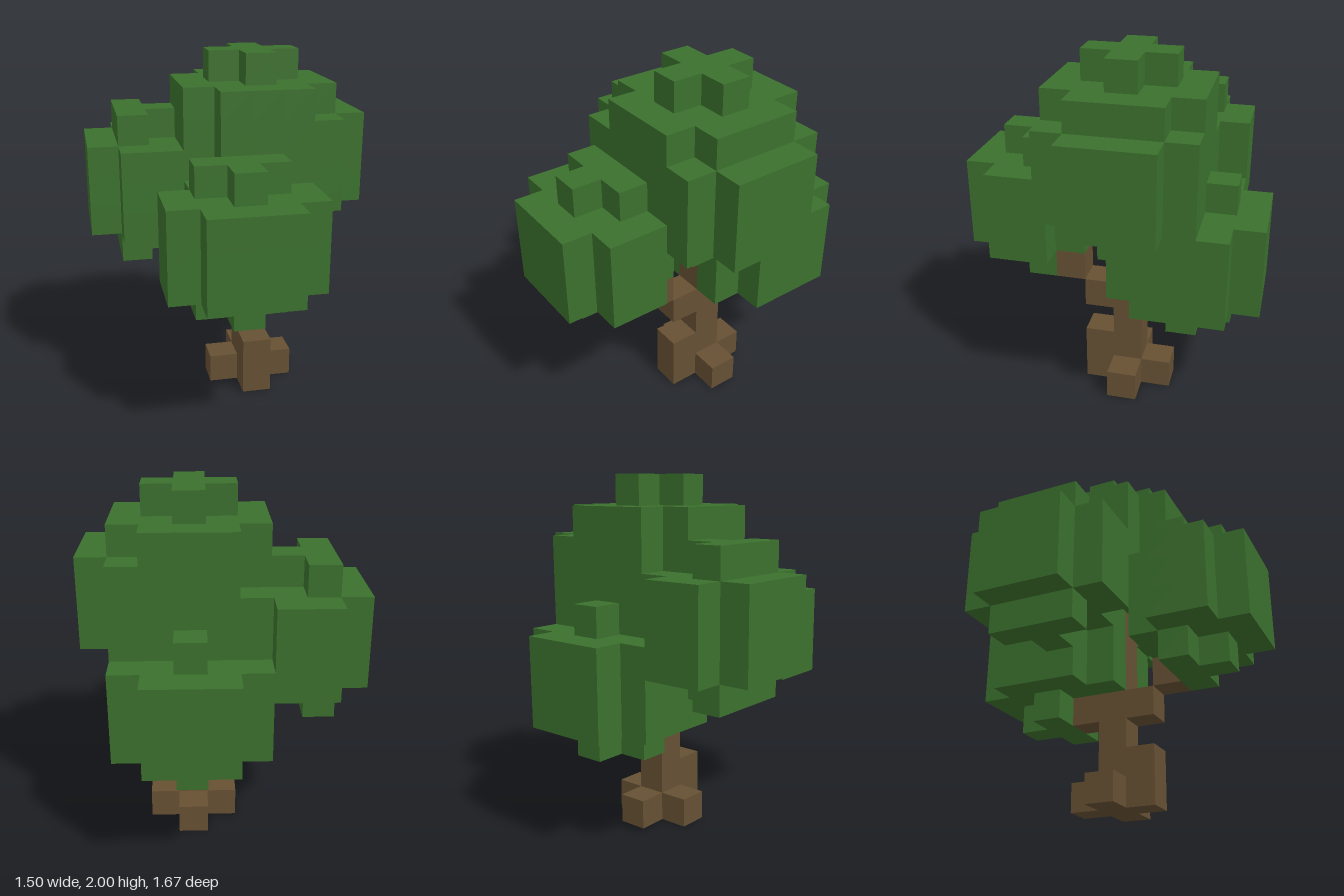
import * as THREE from 'three';
import { mergeGeometries } from 'three/addons/utils/BufferGeometryUtils.js';

const UNIT = 1 / 6; // edge of one cube
const ORIGIN = [-0.75, 0, -5 / 6];

const bark = new THREE.MeshStandardMaterial({ color: 0x665033 });
bark.name = 'bark';
const leaf = new THREE.MeshStandardMaterial({ color: 0x3b702d });
leaf.name = 'leaf';

const key = (x, y, z) => `${x},${y},${z}`;

// Cluster of cubes: three layers without corner columns, capped by crosses.
// (x, y, z) is the lowest corner; caps lists the [x, z] cells of each cross.
function cluster(x, y, z, nx, nz, caps) {
  const cells = [];
  for (let i = 0; i < nx; i++) {
    for (let k = 0; k < nz; k++) {
      const corner = (i === 0 || i === nx - 1) && (k === 0 || k === nz - 1);
      if (!corner) for (let j = 1; j <= 3; j++) cells.push([x + i, y + j, z + k]);
    }
  }
  for (const [i, k] of caps) cells.push([x + i, y, z + k], [x + i, y + 4, z + k]);
  return cells;
}

const CROSS = [[2, 2], [1, 2], [3, 2], [2, 1], [2, 3]];
const SIDE_CAP = [[1, 1], [1, 2], [1, 3], [2, 2]];
const FRONT_CAP = [[1, 1], [2, 1], [3, 1], [2, 2]];

// Six unit faces, each with its outward direction
const FACES = [
  [[1, 0, 0], 'y', Math.PI / 2], [[-1, 0, 0], 'y', -Math.PI / 2],
  [[0, 1, 0], 'x', -Math.PI / 2], [[0, -1, 0], 'x', Math.PI / 2],
  [[0, 0, 1], 'y', 0], [[0, 0, -1], 'y', Math.PI],
].map(([dir, axis, angle]) => {
  const geometry = new THREE.PlaneGeometry(UNIT, UNIT);
  if (axis === 'x') geometry.rotateX(angle);
  else geometry.rotateY(angle);
  geometry.translate(...dir.map((d) => (d * UNIT) / 2));
  return { dir, geometry };
});

// Only the outside faces of a part's cubes
function shell(cells, filled) {
  const faces = [];
  for (const cell of cells) {
    const centre = cell.map((c, a) => ORIGIN[a] + (c + 0.5) * UNIT);
    for (const { dir, geometry } of FACES) {
      if (filled.has(key(...cell.map((c, a) => c + dir[a])))) continue;
      faces.push(geometry.clone().translate(...centre));
    }
  }
  return faces.length ? mergeGeometries(faces) : null;
}

export function createModel() {
  const group = new THREE.Group();
  group.name = 'tree';

  const parts = [
    ['trunk', bark, [0, 1, 2, 3, 4, 5, 6].map((y) => [5, y, 4])],
    ['roots', bark, [[4, 0, 4], [6, 0, 4], [5, 0, 3], [5, 0, 5], [5, 1, 5]]],
    ['branches', bark, [[5, 3, 3], [5, 3, 5], [5, 4, 6]]],
    ['crownLeaves', leaf, cluster(3, 7, 2, 5, 5, CROSS)],
    ['leftLeaves', leaf, cluster(4, 6, 2, 5, 5, CROSS)],
    ['backLeaves', leaf, cluster(3, 3, 0, 5, 5, CROSS)],
    ['rightLeaves', leaf, cluster(0, 5, 1, 4, 5, SIDE_CAP)],
    ['frontLeaves', leaf, cluster(2, 4, 6, 5, 4, FRONT_CAP)],
  ];

  // Each cube belongs to the first part that claims it
  const filled = new Set();
  for (const part of parts) {
    part[2] = part[2].filter((cell) => {
      const k = key(...cell);
      if (filled.has(k)) return false;
      filled.add(k);
      return true;
    });
  }

  for (const [name, material, cells] of parts) {
    const geometry = shell(cells, filled);
    if (!geometry) continue;
    const mesh = new THREE.Mesh(geometry, material);
    mesh.name = name;
    group.add(mesh);
  }
  return group;
}
